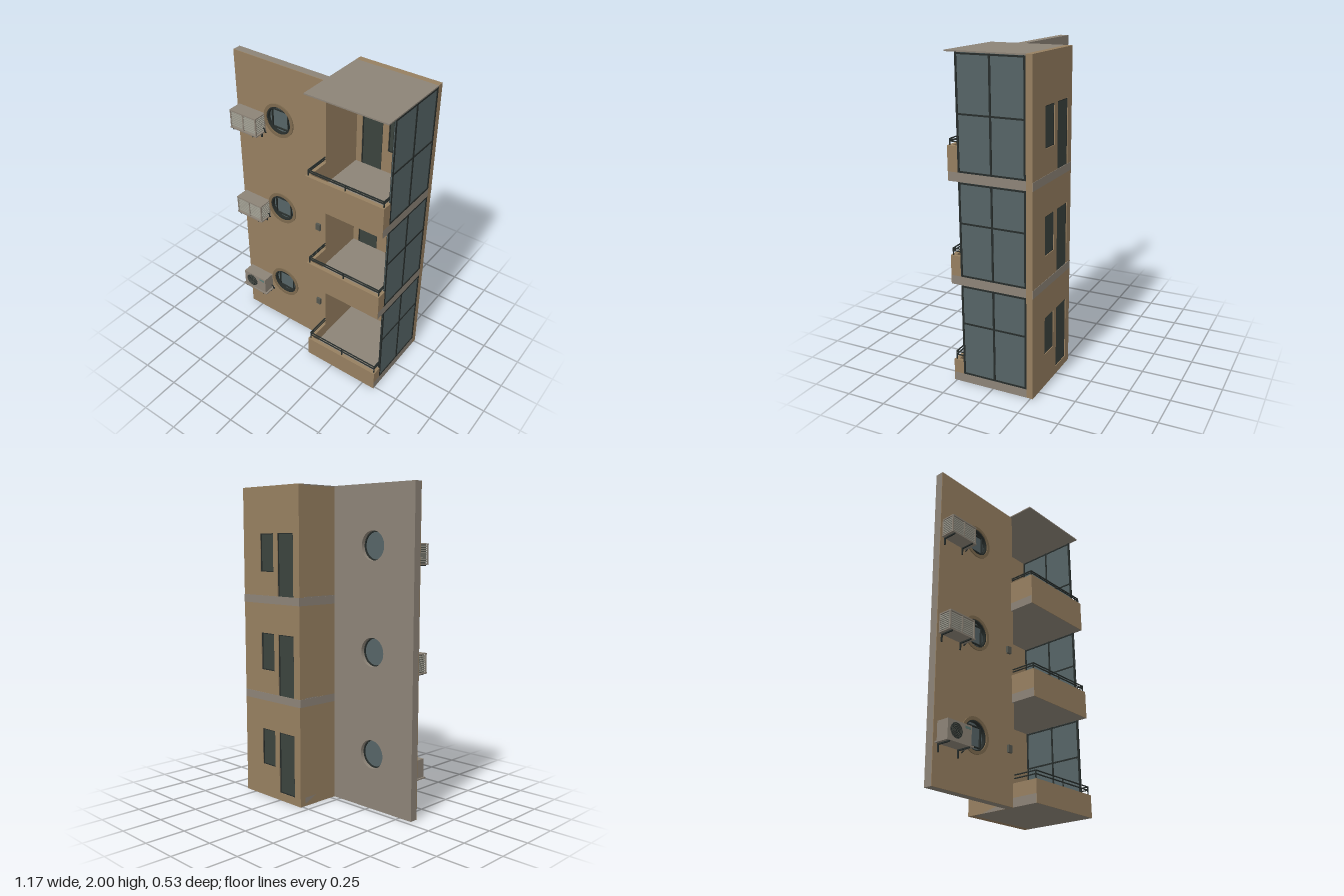
import * as THREE from 'three';

const mat = (name, color, double) => {
  const m = new THREE.MeshStandardMaterial({ color });
  m.name = name;
  if (double) m.side = THREE.DoubleSide;
  return m;
};

export function createModel() {
  const M = {
    tan: mat('tan brick', 0x967f60),
    grey: mat('concrete', 0x8c8377),
    glass: mat('glass', 0x566466, true),
    dark: mat('dark glass', 0x3b433d),
    frame: mat('frame metal', 0x272d2b),
    rim: mat('window surround', 0x7d6a4e),
    box: mat('meter box grey', 0x55574f),
    slat: mat('louver grey', 0x9a988c),
    teal: mat('label teal', 0x5b7a74),
  };
  const model = new THREE.Group();
  model.name = 'apartmentFacade';

  const add = (parent, name, geo, material) => {
    const mesh = new THREE.Mesh(geo, material);
    mesh.name = name;
    parent.add(mesh);
    return mesh;
  };
  // Box given by its min and max along each axis
  const box = (parent, name, material, x0, x1, y0, y1, z0, z1) => {
    const m = add(parent, name, new THREE.BoxGeometry(x1 - x0, y1 - y0, z1 - z0), material);
    m.position.set((x0 + x1) / 2, (y0 + y1) / 2, (z0 + z1) / 2);
    return m;
  };
  const rectPath = (C, x0, x1, y0, y1) => new C([
    new THREE.Vector2(x0, y0), new THREE.Vector2(x1, y0),
    new THREE.Vector2(x1, y1), new THREE.Vector2(x0, y1)]);
  const circlePath = (x, y, r) => new THREE.Path().absarc(x, y, r, 0, Math.PI * 2, true);
  // Upright wall with holes, from z0 to z1
  const wall = (parent, name, material, rect, holes, z0, z1) => {
    const s = rectPath(THREE.Shape, ...rect);
    s.holes.push(...holes);
    const geo = new THREE.ExtrudeGeometry(s, { depth: z1 - z0, bevelEnabled: false, curveSegments: 24 });
    add(parent, name, geo, material).position.z = z0;
  };

  const floors = [
    { slab: 0, ceil: 0.64, parapet: 0.14, rail: 0.195, top: 0.45, round: 0.35, ac: 0.235 },
    { slab: 0.64, ceil: 1.27, parapet: 0.82, rail: 0.865, top: 1.08, round: 0.99, ac: 0.88 },
    { slab: 1.27, ceil: 2, parapet: 1.475, rail: 1.515, top: 1.71, round: 1.635, ac: 1.525 },
  ];
  const X0 = 0.055, X1 = 0.585, WX = -0.27;

  // Wide wall: concrete with a brick face and round openings
  const portholes = () => floors.map((f) => circlePath(WX, f.round, 0.09));
  wall(model, 'mainWall', M.grey, [-0.59, X0, 0, 2], portholes(), 0.035, 0.086);
  wall(model, 'brickFace', M.tan, [-0.59, X0, 0, 2], portholes(), 0.086, 0.09);

  // Tower back wall with door and window openings
  const openings = floors.flatMap((f) => [
    [0.11, 0.255, f.top - 0.4, f.top], [0.295, 0.42, f.top - 0.24, f.top]]);
  wall(model, 'backWall', M.tan, [X0, X1, 0, 2],
    openings.map((o) => rectPath(THREE.Path, ...o)), -0.265, -0.225);
  for (const [x0, x1, y0, y1] of openings) {
    box(model, 'backPane', M.dark, x0, x1, y0, y1, -0.255, -0.235);
    const t = 0.006;
    for (const [a, b, c, d] of [[x0, x0 + t, y0, y1], [x1 - t, x1, y0, y1],
      [x0, x1, y0, y0 + t], [x0, x1, y1 - t, y1]])
      box(model, 'backPaneFrame', M.frame, a, b, c, d, -0.26, -0.23);
  }
  box(model, 'sideWall', M.tan, X0, 0.072, 0, 1.994, -0.225, 0.09);
  box(model, 'roof', M.grey, X0, X1, 1.992, 2, -0.225, 0.265);

  // Round window: surround, dark ring, pane and square bars
  const roundWindow = (y) => {
    const g = new THREE.Group();
    g.name = 'roundWindow';
    g.position.set(WX, y, 0);
    const ring = (name, material, r0, r1, z0, z1) => {
      const s = new THREE.Shape().absarc(0, 0, r1, 0, Math.PI * 2, false);
      s.holes.push(circlePath(0, 0, r0));
      const geo = new THREE.ExtrudeGeometry(s, { depth: z1 - z0, bevelEnabled: false, curveSegments: 24 });
      add(g, name, geo, material).position.z = z0;
    };
    ring('surround', M.rim, 0.09, 0.11, 0.088, 0.097);
    ring('ringFrame', M.frame, 0.082, 0.0905, 0.06, 0.09);
    add(g, 'pane', new THREE.CircleGeometry(0.09, 48), M.glass).position.z = 0.068;
    for (const s of [-1, 1]) {
      box(g, 'barUpright', M.frame, s * 0.058 - 0.003, s * 0.058 + 0.003, -0.066, 0.066, 0.069, 0.08);
      box(g, 'barLevel', M.frame, -0.058, 0.058, s * 0.06 - 0.003, s * 0.06 + 0.003, 0.069, 0.08);
    }
    model.add(g);
  };

  // Air conditioner on brackets; the lowest shows its fan, the others a louvered cage
  const airConditioner = (y, showFan) => {
    const g = new THREE.Group();
    g.name = 'airConditioner';
    g.position.y = y;
    box(g, 'tray', M.grey, -0.578, -0.372, 0, 0.008, 0.09, 0.183);
    for (const x of [-0.555, -0.405]) {
      box(g, 'bracketArm', M.frame, x - 0.004, x + 0.004, -0.008, 0, 0.09, 0.18);
      box(g, 'bracketLeg', M.frame, x - 0.004, x + 0.004, -0.048, 0, 0.09, 0.098);
    }
    const pipe = new THREE.CatmullRomCurve3([[-0.385, 0.03, 0.11], [-0.37, 0.03, 0.11],
      [-0.37, 0.005, 0.105], [-0.375, -0.01, 0.09]].map((p) => new THREE.Vector3(...p)));
    add(g, 'pipe', new THREE.TubeGeometry(pipe, 12, 0.004, 6), M.frame);
    if (showFan) {
      box(g, 'body', M.grey, -0.568, -0.385, 0.008, 0.122, 0.095, 0.176);
      const fan = add(g, 'fan', new THREE.CircleGeometry(0.046, 32), M.frame);
      fan.position.set(-0.502, 0.067, 0.177);
      for (let r = 0.008; r < 0.046; r += 0.009)
        add(g, 'fanGuard', new THREE.TorusGeometry(r, 0.0015, 4, 28), M.box).position.set(-0.502, 0.067, 0.178);
      box(g, 'label', M.teal, -0.435, -0.395, 0.097, 0.11, 0.176, 0.178);
    } else {
      box(g, 'core', M.box, -0.566, -0.386, 0.008, 0.118, 0.092, 0.168);
      box(g, 'cageTop', M.grey, -0.575, -0.375, 0.116, 0.124, 0.09, 0.182);
      for (const x of [-0.575, -0.479, -0.383])
        box(g, 'cagePost', M.grey, x, x + 0.008, 0.008, 0.118, 0.172, 0.18);
      for (const x of [-0.575, -0.383])
        box(g, 'cageBackPost', M.grey, x, x + 0.008, 0.008, 0.118, 0.09, 0.098);
      for (let i = 0; i < 8; i++) {
        const s = 0.016 + i * 0.0125;
        box(g, 'louver', M.slat, -0.567, -0.383, s, s + 0.007, 0.168, 0.178);
        for (const x of [-0.574, -0.382])
          box(g, 'sideLouver', M.slat, x, x + 0.006, s, s + 0.007, 0.096, 0.174);
      }
    }
    model.add(g);
  };

  // Glazed side of the tower
  const glazing = (y0, y1) => {
    const g = new THREE.Group();
    g.name = 'sideGlazing';
    box(g, 'pane', M.glass, 0.577, 0.581, y0, y1, -0.225, 0.2);
    for (const z of [-0.225, -0.018, 0.188])
      box(g, 'mullion', M.frame, 0.574, X1, y0, y1, z, z + 0.012);
    const mid = y1 - 0.25 - (y1 > 1.9 ? 0.09 : 0);
    for (const y of [y0, mid, y1 - 0.012])
      box(g, 'transom', M.frame, 0.574, X1, y, y + 0.01, -0.225, 0.2);
    model.add(g);
  };

  // Balcony parapet with railing, returning to the wide wall on one side
  const balcony = (f) => {
    const g = new THREE.Group();
    g.name = 'balcony';
    const s = f.slab + 0.055;
    box(g, 'slab', M.grey, X0, X1, f.slab, s, -0.225, 0.262);
    box(g, 'slabFace', M.tan, X0, X1, f.slab, s, 0.262, 0.265);
    box(g, 'parapet', M.tan, X0, X1, s, f.parapet, 0.24, 0.265);
    box(g, 'parapetReturn', M.tan, X0, 0.075, s, f.parapet, 0.09, 0.24);
    box(g, 'parapetEnd', M.tan, 0.565, X1, s, f.parapet, 0.2, 0.24);
    const t = 0.003;
    for (const y of [f.rail - t, (f.rail + f.parapet) / 2 + 0.004]) {
      box(g, 'railFront', M.frame, 0.065, 0.578, y - t, y + t, 0.249, 0.255);
      box(g, 'railReturn', M.frame, 0.065, 0.071, y - t, y + t, 0.09, 0.252);
      box(g, 'railEnd', M.frame, 0.572, 0.578, y - t, y + t, 0.2, 0.252);
    }
    for (const x of [0.068, 0.322, 0.575])
      box(g, 'railPost', M.frame, x - t, x + t, f.parapet, f.rail, 0.249, 0.255);
    model.add(g);
  };

  floors.forEach((f, i) => {
    roundWindow(f.round);
    airConditioner(f.ac, i === 0);
    balcony(f);
    glazing(f.slab + 0.055, f.ceil - (i === 2 ? 0.008 : 0));
    // Concrete bands where the slabs meet the outer walls
    if (i > 0) {
      box(model, 'backBand', M.grey, X0, X1, f.slab, f.slab + 0.05, -0.267, -0.264);
      box(model, 'sideBand', M.grey, X0 - 0.002, X0 + 0.002, f.slab, f.slab + 0.05, -0.265, 0.035);
    }
  });

  // Meter boxes
  for (const y of [0.315, 0.955]) box(model, 'meterBox', M.box, 0.005, 0.037, y, y + 0.046, 0.09, 0.105);

  return model;
}
